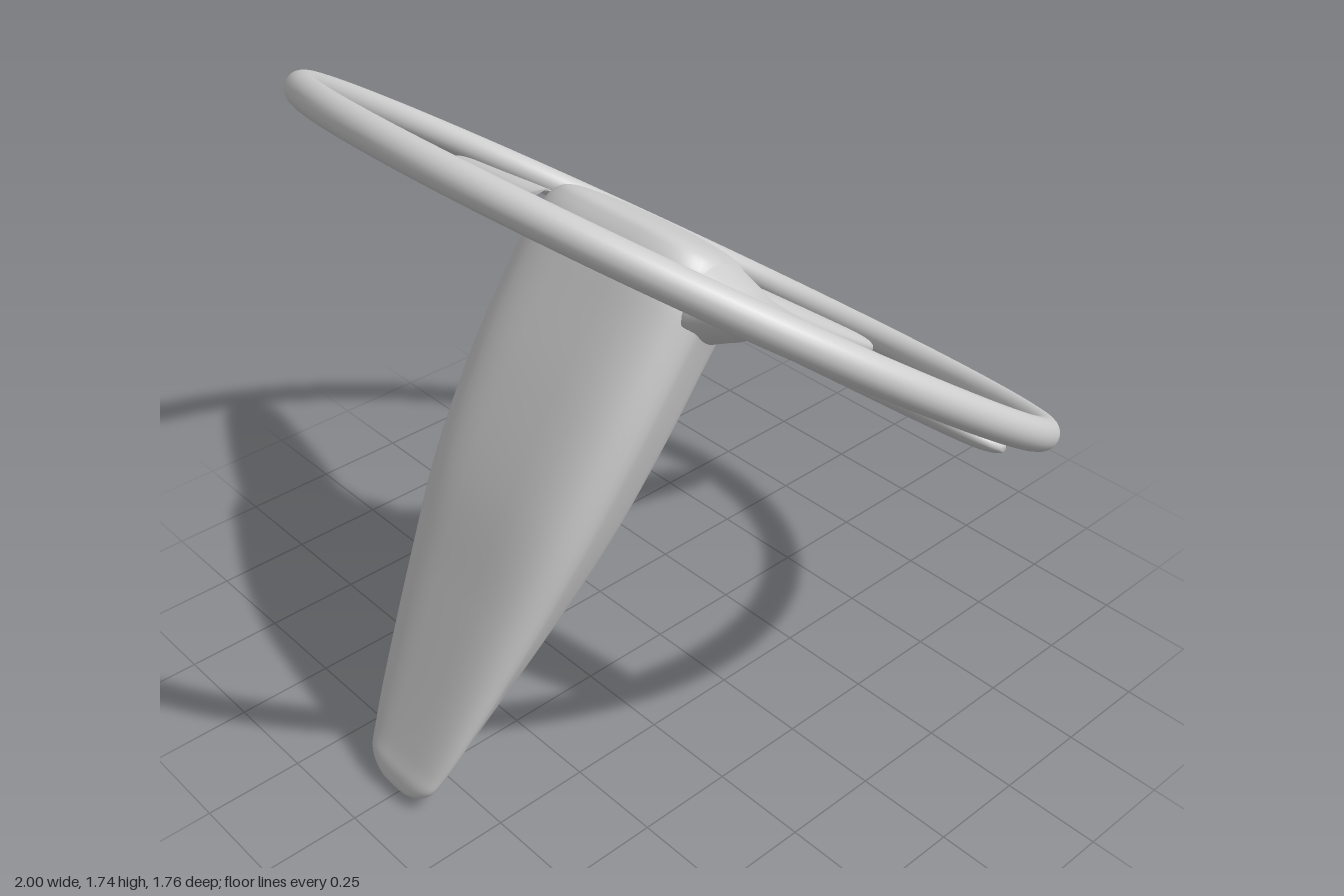
import * as THREE from 'three';

// Smooth closed loft along +y. Rows are [y, halfWidth, zMin, zMax].
// power sets how square the section is, taper narrows the -z side.
function loft(rows, power, taper, steps = 72, sides = 56) {
  const spline = (a, b) => new THREE.CatmullRomCurve3(
    rows.map(r => new THREE.Vector3(r[a], r[b], 0)), false, 'catmullrom', 0.5);
  const outline = spline(0, 1), depth = spline(2, 3);
  const pos = [], index = [];
  const bend = v => Math.sign(v) * Math.abs(v) ** (2 / power);
  for (let i = 0; i <= steps; i++) {
    const p = outline.getPoint(i / steps), d = depth.getPoint(i / steps);
    const mid = (d.x + d.y) / 2, half = (d.y - d.x) / 2;
    for (let j = 0; j < sides; j++) {
      const a = (j / sides) * Math.PI * 2;
      const s = bend(Math.sin(a));
      const narrow = THREE.MathUtils.lerp(taper, 1, Math.min(1, (s + 1) / 1.4));
      pos.push(Math.max(0, p.y) * bend(Math.cos(a)) * narrow, p.x, mid + half * s);
      if (i < steps) {
        const k = (j + 1) % sides, b = i * sides, t = b + sides;
        index.push(b + j, t + j, b + k, b + k, t + j, t + k);
      }
    }
  }
  const geo = new THREE.BufferGeometry();
  geo.setAttribute('position', new THREE.Float32BufferAttribute(pos, 3));
  geo.setIndex(index);
  geo.computeVertexNormals();
  return geo;
}

export function createModel() {
  const model = new THREE.Group();
  const material = new THREE.MeshStandardMaterial({ color: 0xcccccc });

  // Tilted wheel frame: local y is the column axis, local z the raised front
  const wheel = new THREE.Group();
  wheel.name = 'steeringWheel';
  wheel.position.set(0, 1.15, -0.05);
  wheel.rotation.x = -0.608;
  model.add(wheel);

  const add = (name, geo) => {
    const mesh = new THREE.Mesh(geo, material);
    mesh.name = name;
    wheel.add(mesh);
    return mesh;
  };

  // Rim
  add('rim', new THREE.TorusGeometry(0.96, 0.04, 24, 128).rotateX(Math.PI / 2));

  // Column and hub in one tapering body
  const column = add('columnAndHub', loft([
    [-1.462, 0, 0.095, 0.1],
    [-1.455, 0.06, 0.075, 0.12],
    [-1.42, 0.115, 0.06, 0.135],
    [-1.36, 0.14, 0.05, 0.143],
    [-1.22, 0.175, 0.025, 0.167],
    [-0.94, 0.23, -0.035, 0.217],
    [-0.67, 0.272, -0.08, 0.262],
    [-0.4, 0.295, -0.098, 0.281],
    [-0.15, 0.3, -0.11, 0.283],
    [-0.05, 0.3, -0.14, 0.28],
    [0.02, 0.285, -0.125, 0.265],
    [0.055, 0.24, -0.085, 0.235],
    [0.068, 0.12, 0, 0.15],
    [0.07, 0, 0.07, 0.08],
  ], 3.6, 0.62, 104));
  column.position.x = -0.007;

  // Spokes: flared root, flattened blade, rounded tip below the rim
  const addSpoke = (name, x, z, dx, dz, rows) => {
    const out = new THREE.Vector3(dx, 0, dz).normalize();
    const up = new THREE.Vector3(0, 1, 0);
    const side = new THREE.Vector3().crossVectors(out, up);
    const geo = loft(rows, 2.3, 1, 48, 32);
    geo.applyMatrix4(new THREE.Matrix4().makeBasis(side, out, up).setPosition(x, 0, z));
    add(name, geo);
  };

  const sideRows = [
    [0, 0.17, -0.15, 0.05],
    [0.06, 0.15, -0.115, 0.03],
    [0.12, 0.126, -0.088, 0.014],
    [0.3, 0.112, -0.083, 0.002],
    [0.5, 0.092, -0.08, -0.012],
    [0.65, 0.072, -0.076, -0.022],
    [0.71, 0.052, -0.07, -0.03],
    [0.738, 0.025, -0.06, -0.04],
    [0.742, 0, -0.051, -0.049],
  ];
  for (const s of [1, -1]) {
    addSpoke(s > 0 ? 'leftSpoke' : 'rightSpoke', s * 0.24, 0.08, s, -0.28, sideRows);
  }

  const rearRows = [
    [0, 0.16, -0.21, 0.04],
    [0.06, 0.125, -0.15, 0.02],
    [0.13, 0.103, -0.12, 0.01],
    [0.35, 0.085, -0.1, 0.004],
    [0.6, 0.068, -0.08, -0.004],
    [0.76, 0.054, -0.066, -0.01],
    [0.83, 0.038, -0.058, -0.016],
    [0.858, 0.018, -0.048, -0.026],
    [0.862, 0, -0.038, -0.036],
  ];
  addSpoke('rearSpoke', -0.01, -0.08, 0, -1, rearRows);

  return model;
}
